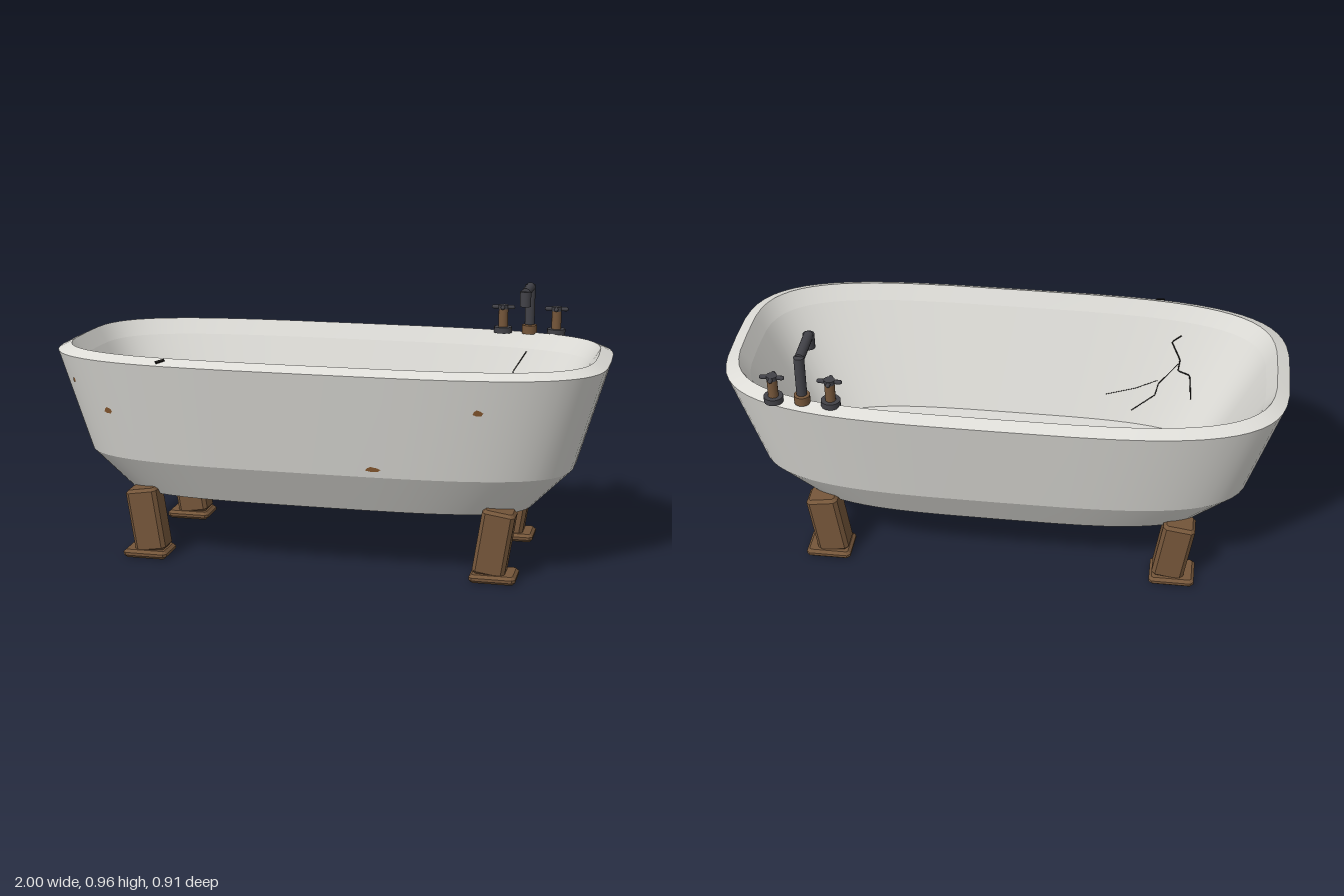
import * as THREE from 'three';
import { mergeGeometries } from 'three/addons/utils/BufferGeometryUtils.js';

const SEG = 64, POWER = 3.6;
const mat = (name, color) => Object.assign(new THREE.MeshStandardMaterial({ color }), { name });

// Plan outline of the tub at half-length a, half-width b
function planPoint([y, a, b], i) {
  const t = (i / SEG) * Math.PI * 2, c = Math.cos(t), s = Math.sin(t);
  const bend = (v) => (Math.abs(v) < 1e-9 ? 0 : Math.sign(v) * Math.abs(v) ** (2 / POWER));
  return [a * bend(c), y, b * bend(s)];
}

// Indexed geometry with smooth normals
function meshGeometry(pos, index) {
  const g = new THREE.BufferGeometry();
  g.setAttribute('position', new THREE.Float32BufferAttribute(pos, 3));
  g.setIndex(index);
  g.computeVertexNormals();
  return g;
}

// Band of wall between two outlines
function band(lower, upper) {
  const pos = [], index = [];
  for (const ring of [lower, upper]) for (let i = 0; i < SEG; i++) pos.push(...planPoint(ring, i));
  for (let i = 0; i < SEG; i++) {
    const j = (i + 1) % SEG;
    index.push(i, SEG + i, j, SEG + i, SEG + j, j);
  }
  return meshGeometry(pos, index);
}
const shell = (rings) => mergeGeometries(rings.slice(1).map((r, i) => band(rings[i], r)));

// Outlines: [height, half-length, half-width]
const base = [0.232, 0.75, 0.295], knee = [0.377, 0.89, 0.378], edge = [0.747, 1.0, 0.457];
const rim = [0.768, 0.955, 0.415], lip = [0.71, 0.92, 0.387], floor = [0.32, 0.72, 0.245];

const mixRing = (p, q, k) => p.map((v, i) => v + (q[i] - v) * k);

// Point on the inner wall above plan position (x, z)
function onInnerWall([x, z]) {
  let lo = 0, hi = 1;
  for (let n = 0; n < 30; n++) {
    const k = (lo + hi) / 2, [, a, b] = mixRing(floor, lip, k);
    if (Math.abs(x / a) ** POWER + Math.abs(z / b) ** POWER > 1) lo = k; else hi = k;
  }
  return new THREE.Vector3(x, mixRing(floor, lip, lo)[0] + 0.002, z);
}

// Point just outside the front outer wall at (x, y)
function onFrontWall(x, y) {
  const [, a, b] = mixRing(knee, edge, (y - knee[0]) / (edge[0] - knee[0]));
  const u = Math.min(Math.abs(x / a), 1);
  return [x, y, b * (1 - u ** POWER) ** (1 / POWER) + 0.003];
}

// Irregular worn patch lying on the front wall
function chipGeometry(x, y, w, h) {
  const reach = [1, 0.8, 1, 0.75, 1, 0.9, 1], pos = [...onFrontWall(x, y)], index = [];
  reach.forEach((r, i) => {
    const t = (i / reach.length) * Math.PI * 2;
    pos.push(...onFrontWall(x + Math.cos(t) * r * w, y + Math.sin(t) * r * h));
    index.push(0, i + 1, ((i + 1) % reach.length) + 1);
  });
  return meshGeometry(pos, index);
}

// Box with every edge cut at a flat angle
function chamferBox(w, h, d, c) {
  const x = w / 2 - c, y = d / 2 - c, k = c * 0.6;
  const outline = [[x, k - y], [x, y - k], [x - k, y], [k - x, y], [-x, y - k], [-x, k - y], [k - x, -y], [x - k, -y]];
  const shape = new THREE.Shape(outline.map(([u, v]) => new THREE.Vector2(u, v)));
  const depth = h - 2 * c;
  const g = new THREE.ExtrudeGeometry(shape, { depth, bevelThickness: c, bevelSize: c, bevelSegments: 1 });
  return g.translate(0, 0, -depth / 2).rotateX(-Math.PI / 2);
}

export function createModel() {
  const model = new THREE.Group();
  model.name = 'bathtub';
  const enamel = mat('enamel', 0xdddcd7), bronze = mat('bronze', 0x75563a);
  const iron = mat('iron', 0x424248), rust = mat('rust', 0x8a5a30), crackBlack = mat('crackBlack', 0x1c1a18);
  rust.side = THREE.DoubleSide;

  const add = (parent, name, geometry, material, x = 0, y = 0, z = 0) => {
    const m = new THREE.Mesh(geometry, material);
    m.name = name;
    m.position.set(x, y, z);
    parent.add(m);
    return m;
  };
  const cyl = (r, h, sides = 16) => new THREE.CylinderGeometry(r, r, h, sides);

  // Tub
  add(model, 'outerWall', shell([base, knee, edge]), enamel);
  add(model, 'rim', shell([edge, rim]), enamel);
  add(model, 'innerWall', shell([rim, lip, floor]), enamel);
  add(model, 'tubFloor', band(floor, [floor[0], 0, 0]), enamel);
  add(model, 'underside', band([base[0], 0, 0], base), bronze);
  add(model, 'drain', cyl(0.047, 0.008, 20), iron, 0.503, floor[0] + 0.004, 0);

  // Legs, leaning outwards at the top
  for (const sx of [-1, 1]) for (const sz of [-1, 1]) {
    const leg = new THREE.Group();
    leg.name = 'leg';
    leg.position.set(sx * 0.636, 0, sz * 0.255);
    model.add(leg);
    add(leg, 'footPad', chamferBox(0.164, 0.03, 0.134, 0.01), bronze, 0, 0.015, 0);
    const post = add(leg, 'legPost', chamferBox(0.116, 0.236, 0.1, 0.011), bronze, 0, 0.139, 0);
    post.rotation.z = -sx * 0.15;
  }

  // Spout
  const spout = new THREE.Group();
  spout.name = 'spout';
  spout.position.set(0.664, 0, -0.388);
  model.add(spout);
  add(spout, 'spoutBase', cyl(0.028, 0.032), bronze, 0, 0.778, 0);
  add(spout, 'spoutRiser', cyl(0.0185, 0.15), iron, 0, 0.872, 0);
  add(spout, 'spoutArm', cyl(0.0175, 0.148), iron, 0, 0.938, 0.077).rotation.x = Math.PI / 2;
  add(spout, 'spoutNozzle', cyl(0.0205, 0.055), iron, 0, 0.916, 0.15);

  // Taps with cross handles
  for (const x of [0.564, 0.764]) {
    const tap = new THREE.Group();
    tap.name = 'tap';
    tap.position.set(x, 0, -0.391);
    model.add(tap);
    add(tap, 'tapBase', cyl(0.034, 0.022), iron, 0, 0.772, 0);
    add(tap, 'tapStem', cyl(0.018, 0.075), bronze, 0, 0.82, 0);
    add(tap, 'handleHub', cyl(0.019, 0.016), iron, 0, 0.858, 0);
    add(tap, 'longHandleBar', new THREE.CapsuleGeometry(0.008, 0.072, 3, 8), iron, 0, 0.858, 0).rotation.z = Math.PI / 2;
    add(tap, 'shortHandleBar', new THREE.CapsuleGeometry(0.008, 0.05, 3, 8), iron, 0, 0.858, 0).rotation.x = Math.PI / 2;
  }

  // Worn enamel on the front
  const chips = [[-0.885, 0.655, 0.007, 0.011], [-0.742, 0.56, 0.017, 0.013], [0.59, 0.632, 0.019, 0.012], [0.225, 0.408, 0.029, 0.01]];
  for (const c of chips) add(model, 'rustChip', chipGeometry(...c), rust);
  const nick = add(model, 'rimNick', new THREE.BoxGeometry(0.032, 0.005, 0.01), crackBlack, -0.522, 0.761, 0.425);
  nick.rotation.set(0.46, 0.6, 0);

  // Hairline cracks on the inner wall: [thickness, plan points]
  const cracks = [
    [0.0022, [[-0.66, 0.235], [-0.65, 0.275], [-0.605, 0.29], [-0.61, 0.305], [-0.575, 0.335], [-0.61, 0.34]]],
    [0.0018, [[-0.605, 0.3], [-0.535, 0.28], [-0.525, 0.265], [-0.44, 0.25]]],
    [0.0013, [[-0.53, 0.285], [-0.45, 0.28], [-0.34, 0.275]]],
    [0.0018, [[0.66, -0.345], [0.615, -0.325], [0.61, -0.31], [0.57, -0.295]]],
  ];
  for (const [radius, points] of cracks) {
    const path = new THREE.CurvePath();
    const pts = points.map(onInnerWall);
    pts.slice(1).forEach((p, i) => path.add(new THREE.LineCurve3(pts[i], p)));
    add(model, 'crack', new THREE.TubeGeometry(path, 32, radius, 4), crackBlack);
  }
  return model;
}
